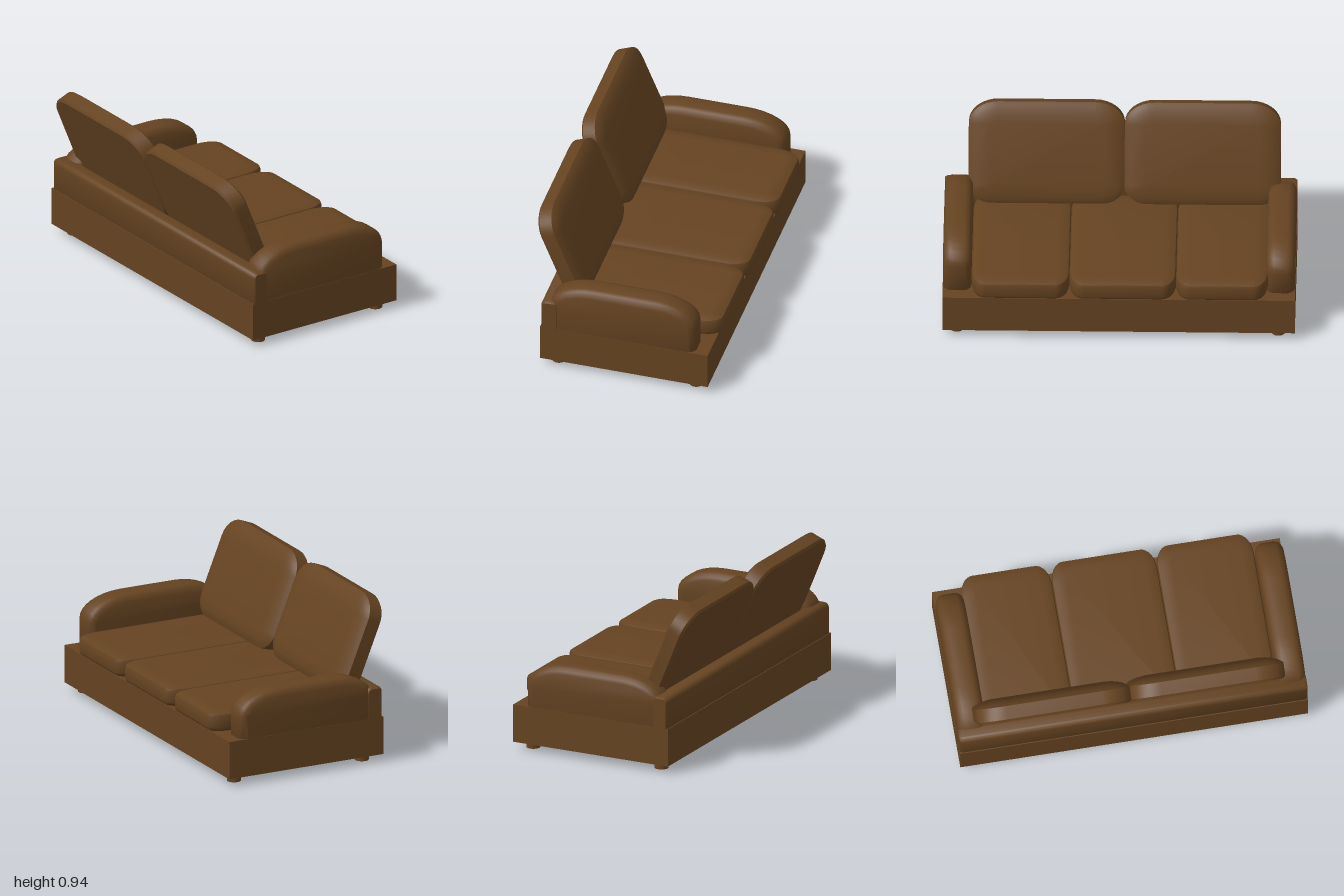
import * as THREE from 'three';
import { toCreasedNormals } from 'three/addons/utils/BufferGeometryUtils.js';

const material = new THREE.MeshStandardMaterial({ color: 0x654321 });
const STEPS = 8;

// Rounded rectangle, counter-clockwise; top and bottom are [rx, ry] corner radii.
function outline(x0, x1, y0, y1, top, bottom) {
  const points = [];
  const corners = [
    [x1, y1, -1, -1, top], [x0, y1, 1, -1, top],
    [x0, y0, 1, 1, bottom], [x1, y0, -1, 1, bottom],
  ];
  corners.forEach(([x, y, sx, sy, [rx, ry]], q) => {
    for (let i = 0; i <= STEPS; i++) {
      const a = (q + i / STEPS) * Math.PI / 2;
      points.push([x + sx * rx + rx * Math.cos(a), y + sy * ry + ry * Math.sin(a)]);
    }
  });
  return points;
}

// Padded block: the outline is lofted along z through levels of [z, inset].
function padded({ x, y, top, bottom, levels, flatBase = false }) {
  const positions = [], index = [];
  const shrink = ([rx, ry], d) => [Math.max(rx - d, 0.004), Math.max(ry - d, 0.004)];
  for (const [z, d] of levels) {
    const base = flatBase ? 0 : d;
    const ring = outline(x[0] + d, x[1] - d, y[0] + base, y[1] - d, shrink(top, d), shrink(bottom, d));
    ring.forEach(([px, py]) => positions.push(px, py, z));
  }
  const n = 4 * (STEPS + 1), last = (levels.length - 1) * n;
  for (let k = 0; k < levels.length - 1; k++) {
    for (let i = 0; i < n; i++) {
      const a = k * n + i, b = k * n + (i + 1) % n;
      index.push(a, b, b + n, a, b + n, a + n);
    }
  }
  for (let i = 1; i < n - 1; i++) {
    index.push(0, i + 1, i, last, last + i, last + i + 1);
  }
  const geometry = new THREE.BufferGeometry();
  geometry.setAttribute('position', new THREE.Float32BufferAttribute(positions, 3));
  geometry.setIndex(index);
  return geometry;
}

export function createModel() {
  const sofa = new THREE.Group();
  sofa.name = 'sofa';
  const add = (name, geometry, x = 0, y = 0, z = 0) => {
    const mesh = new THREE.Mesh(geometry, material);
    mesh.name = name;
    mesh.position.set(x, y, z);
    sofa.add(mesh);
    return mesh;
  };
  const smooth = (geometry) => toCreasedNormals(geometry, 0.7);

  // Base box
  add('base', new THREE.BoxGeometry(0.99, 0.222, 2), 0.025, 0.156, 0);

  // Short round feet
  for (const [x, z] of [[-0.38, 0.92], [0.43, 0.92], [-0.38, -0.905], [0.44, -0.905]]) {
    add('foot', new THREE.CylinderGeometry(0.04, 0.04, 0.05, 24), x, 0.025, z);
  }

  // Low back rail along the whole length
  add('backRail', smooth(padded({
    x: [-0.465, -0.365], y: [0.265, 0.45], top: [0.03, 0.03], bottom: [0.004, 0.004],
    levels: [[-1, 0.01], [-0.985, 0], [0.985, 0], [1, 0.01]], flatBase: true,
  })));

  // Padded arms, one slightly taller
  const armLevels = [[-0.08, 0.045], [-0.073, 0.026], [-0.06, 0.01], [-0.04, 0.001],
    [0.04, 0.001], [0.06, 0.01], [0.073, 0.026], [0.08, 0.045]];
  for (const [side, height] of [[1, 0.565], [-1, 0.535]]) {
    add('arm', smooth(padded({
      x: [-0.42, 0.445], y: [0.265, height], top: [0.26, 0.14], bottom: [0.004, 0.004],
      levels: armLevels, flatBase: true,
    })), 0, 0, side * 0.918);
  }

  // Three seat cushions
  for (const [z0, z1] of [[0.28, 0.835], [-0.325, 0.28], [-0.845, -0.325]]) {
    const geometry = padded({
      x: [-0.37, 0.547], y: [-z1, -z0], top: [0.13, 0.08], bottom: [0.13, 0.08],
      levels: [[0.266, 0.06], [0.272, 0.025], [0.285, 0.005], [0.3, 0], [0.36, 0],
        [0.376, 0.006], [0.386, 0.03], [0.391, 0.07]],
    });
    geometry.rotateX(-Math.PI / 2);
    add('seatCushion', smooth(geometry));
  }

  // Two leaning back cushions, flat behind and padded in front
  for (const z of [0.4225, -0.4625]) {
    const geometry = padded({
      x: [-0.443, 0.443], y: [0, 0.59], top: [0.17, 0.13], bottom: [0.13, 0.11],
      levels: [[0, 0.012], [0.012, 0], [0.088, 0], [0.1, 0.018], [0.11, 0.045],
        [0.117, 0.08], [0.121, 0.115]],
    });
    geometry.rotateY(Math.PI / 2);
    add('backCushion', smooth(geometry), -0.33, 0.363, z).rotation.z = 0.385;
  }

  return sofa;
}
